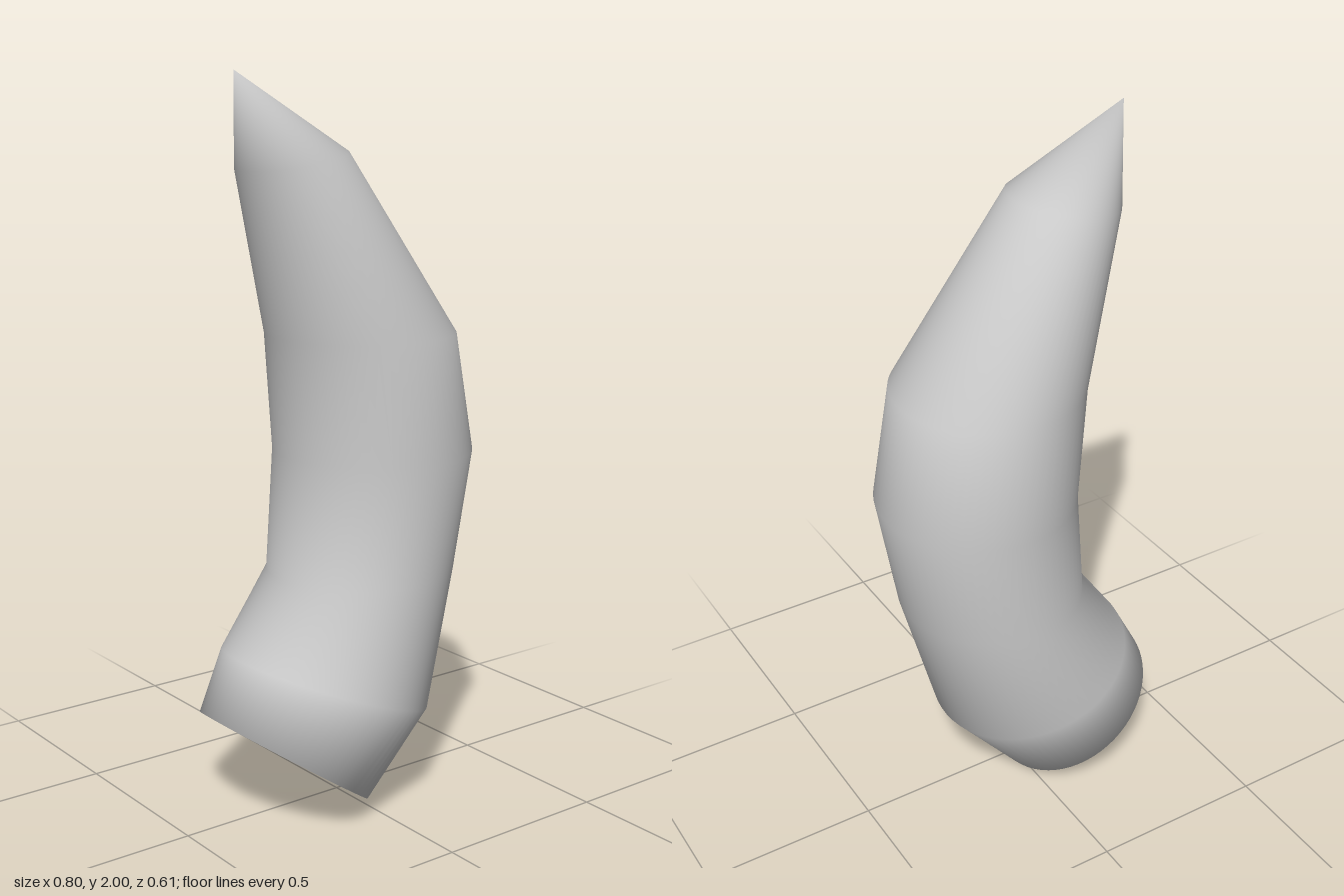
import * as THREE from 'three';

// Cross-sections from base to tip: left x, left y, right x, right y, half depth in z
const RINGS = [
  [-0.40, 0.30, 0.03, 0.00, 0.26],
  [-0.32, 0.45, 0.23, 0.245, 0.305],
  [-0.18, 0.65, 0.34, 0.65, 0.262],
  [-0.15, 0.985, 0.395, 0.985, 0.283],
  [-0.18, 1.31, 0.34, 1.31, 0.262],
  [-0.29, 1.75, 0.00, 1.80, 0.155],
];
const TIP = [-0.32, 2.0, 0];
const SIDES = 64;

// Smooth closed skin through tilted elliptical rings
function loftHorn() {
  const positions = [];
  const index = [];
  for (const [lx, ly, rx, ry, depth] of RINGS) {
    for (let j = 0; j < SIDES; j++) {
      const a = (j / SIDES) * Math.PI * 2;
      const t = (1 + Math.cos(a)) / 2;
      positions.push(lx + (rx - lx) * t, ly + (ry - ly) * t, depth * Math.sin(a));
    }
  }
  const [lx, ly, rx, ry] = RINGS[0];
  const base = positions.length / 3;
  const tip = base + 1;
  positions.push((lx + rx) / 2, (ly + ry) / 2, 0, ...TIP);

  const top = (RINGS.length - 1) * SIDES;
  for (let j = 0; j < SIDES; j++) {
    const k = (j + 1) % SIDES;
    // side walls
    for (let i = 0; i < top; i += SIDES) {
      const a = i + j, b = i + k, c = a + SIDES, d = b + SIDES;
      index.push(a, c, b, b, c, d);
    }
    // flat base and pointed end
    index.push(base, j, k, tip, top + k, top + j);
  }
  const geometry = new THREE.BufferGeometry();
  geometry.setAttribute('position', new THREE.Float32BufferAttribute(positions, 3));
  geometry.setIndex(index);
  geometry.computeVertexNormals();
  return geometry;
}

export function createModel() {
  const group = new THREE.Group();
  group.name = 'curvedHorn';
  const horn = new THREE.Mesh(loftHorn(), new THREE.MeshStandardMaterial({ color: 0xcccccc }));
  horn.name = 'horn';
  group.add(horn);
  return group;
}
